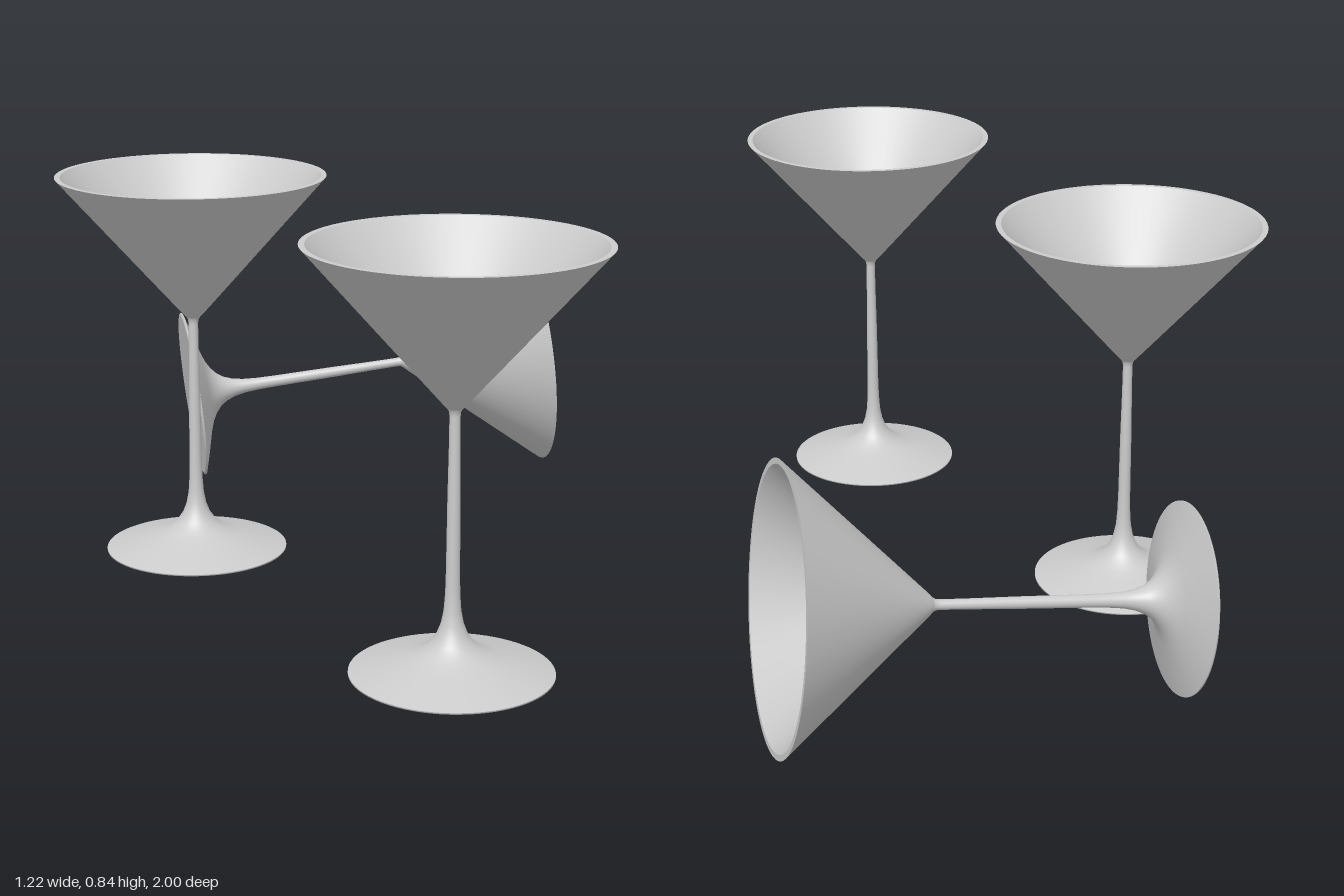
import * as THREE from 'three';

const material = new THREE.MeshStandardMaterial({ color: 0xcccccc });
const HEIGHT = 0.843, FOOT_R = 0.2, RIM_R = 0.292;

// Surfaces of revolution, kept apart so the edges between them stay sharp
const profiles = {
  footUnderside: [[0, 0.003], [0.1, 0.002], [0.194, 0]],
  footEdge: [[0.194, 0], [FOOT_R, 0.002], [FOOT_R, 0.005]],
  footTopAndStem: [
    [FOOT_R, 0.005], [0.15, 0.02], [0.1, 0.034], [0.075, 0.043], [0.056, 0.054], [0.041, 0.067],
    [0.03, 0.083], [0.022, 0.104], [0.017, 0.13], [0.0145, 0.165], [0.0135, 0.21],
    [0.0125, 0.35], [0.011, 0.45], [0.0105, 0.515], [0.0115, 0.524], [0.015, 0.53],
  ],
  bowlOutside: [[0.015, 0.53], [0.022, 0.537], [0.15, 0.682], [RIM_R, HEIGHT]],
  rim: [[RIM_R, HEIGHT], [0.28, HEIGHT]],
  bowlInside: [[0.28, HEIGHT], [0.15, 0.696], [0.02, 0.549], [0.008, 0.54], [0, 0.539]],
};

const geometries = Object.entries(profiles).map(([name, points]) => [
  name,
  new THREE.LatheGeometry(points.map(([r, y]) => new THREE.Vector2(r, y)), 72),
]);

function makeGlass(name) {
  const glass = new THREE.Group();
  glass.name = name;
  for (const [part, geometry] of geometries) {
    const mesh = new THREE.Mesh(geometry, material);
    mesh.name = part;
    glass.add(mesh);
  }
  return glass;
}

export function createModel() {
  const model = new THREE.Group();
  model.name = 'cocktailGlasses';

  // Two upright glasses
  const back = makeGlass('uprightGlassRight');
  back.position.set(-0.32, 0, 0.06);
  const front = makeGlass('uprightGlassLeft');
  front.position.set(0.32, 0, 0.707);

  // Glass lying on its side, resting on foot and rim
  const fallen = makeGlass('fallenGlass');
  const axis = new THREE.Vector3(0.79, 0.092, -0.27).normalize();
  fallen.quaternion.setFromUnitVectors(new THREE.Vector3(0, 1, 0), axis);
  fallen.position.set(-0.442, 0.21, -0.455);

  model.add(back, front, fallen);
  return model;
}
